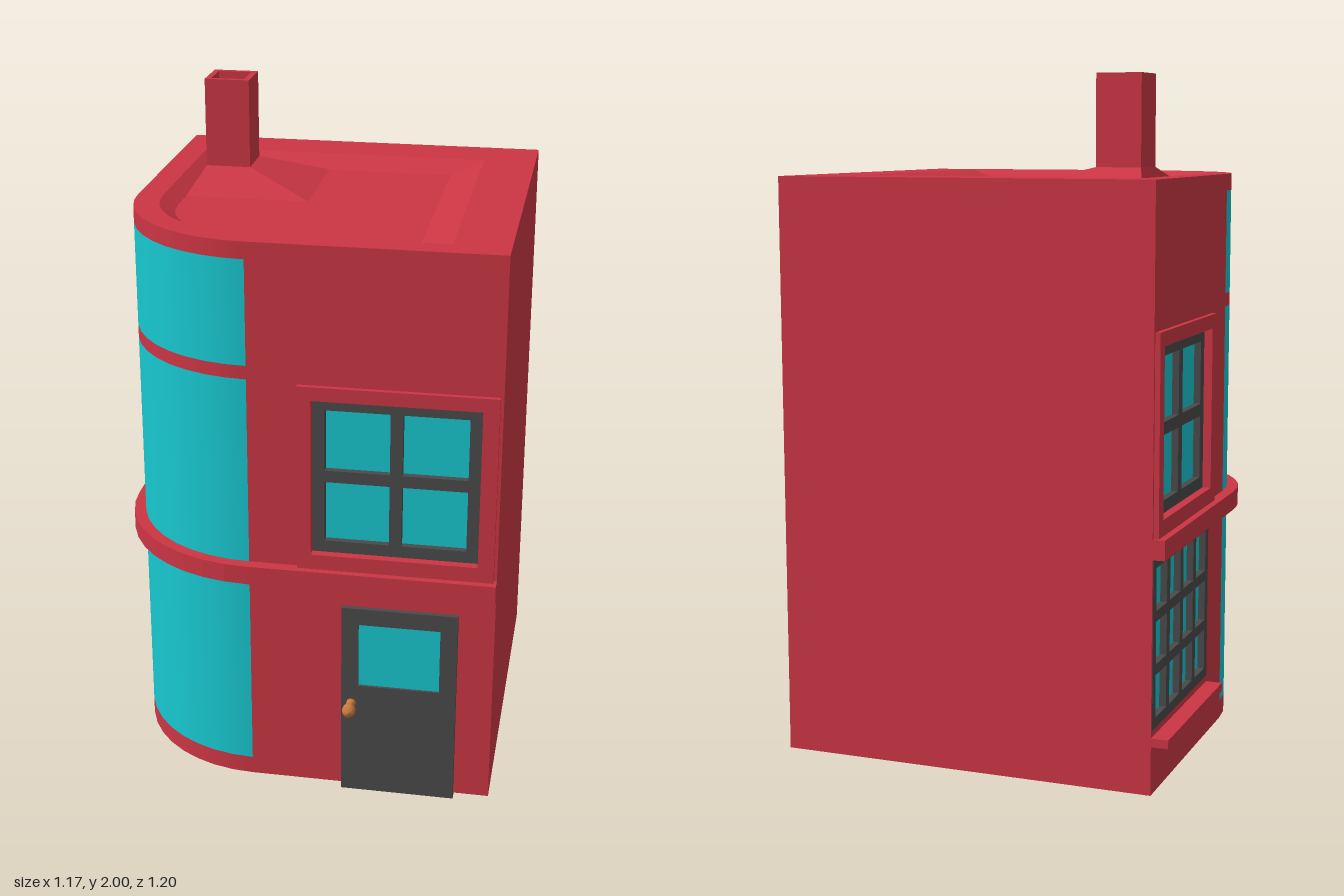
import * as THREE from 'three';

const mat = (color, extra = {}) => new THREE.MeshStandardMaterial({ color, side: THREE.DoubleSide, ...extra });
const red = mat(0xcc3644);
const redFlat = mat(0xcc3644, { flatShading: true });
const teal = mat(0x18c8d0);
const dark = mat(0x4a4a4a);
const copper = mat(0xc87a3c);

const BOTTOM = 0.015, TOP = 1.71, XR = 0.585, ZB = -0.6;
const CX = -0.135, CZ = 0.12, R = 0.405; // centre and radius of the rounded corner

function add(parent, name, geometry, material, x = 0, y = 0, z = 0) {
  const mesh = new THREE.Mesh(geometry, material);
  mesh.name = name;
  mesh.position.set(x, y, z);
  parent.add(mesh);
  return mesh;
}

const rectPoints = (x0, y0, x1, y1) =>
  [[x0, y0], [x1, y0], [x1, y1], [x0, y1]].map(([x, y]) => new THREE.Vector2(x, y));

// Upright rectangle with rectangular holes; solid when a depth is given
function panel(rect, holes = [], depth = 0) {
  const shape = new THREE.Shape(rectPoints(...rect));
  for (const h of holes) shape.holes.push(new THREE.Path(rectPoints(...h)));
  return depth ? new THREE.ExtrudeGeometry(shape, { depth, bevelEnabled: false }) : new THREE.ShapeGeometry(shape);
}

// Plan outline [x, z]: two straight walls joined by the rounded corner
function plan(r, xr = XR, zb = ZB) {
  const pts = [[xr, zb], [CX - r, zb]];
  for (let i = 0; i <= 10; i++) {
    const a = (i / 10) * Math.PI / 2;
    pts.push([CX - r * Math.cos(a), CZ + r * Math.sin(a)]);
  }
  pts.push([xr, CZ + r]);
  return pts;
}

// Horizontal slab or sheet from a plan outline
function slab(outer, hole, height = 0) {
  const v = (pts) => pts.map(([x, z]) => new THREE.Vector2(x, -z));
  const shape = new THREE.Shape(v(outer));
  if (hole) shape.holes.push(new THREE.Path(v(hole)));
  const g = height
    ? new THREE.ExtrudeGeometry(shape, { depth: height, bevelEnabled: false })
    : new THREE.ShapeGeometry(shape);
  return g.rotateX(-Math.PI / 2);
}

// Sloping skin between two plan outlines at different heights
function loft(a, ya, b, yb) {
  const pos = [];
  for (let i = 0; i < a.length; i++) {
    const j = (i + 1) % a.length;
    const a0 = [a[i][0], ya, a[i][1]], a1 = [a[j][0], ya, a[j][1]];
    const b0 = [b[i][0], yb, b[i][1]], b1 = [b[j][0], yb, b[j][1]];
    pos.push(...a0, ...a1, ...b1, ...a0, ...b1, ...b0);
  }
  const g = new THREE.BufferGeometry();
  g.setAttribute('position', new THREE.Float32BufferAttribute(pos, 3));
  g.computeVertexNormals();
  return g;
}

// Plan rectangle, counterclockwise seen from above
const box2 = (x0, z0, x1, z1) => [[x1, z0], [x0, z0], [x0, z1], [x1, z1]];

// Dark glazing bars with glass behind, centred, facing +z
function glazing(parent, w, h, cols, rows, bar, z) {
  const holes = [];
  const pw = (w - bar * (cols + 1)) / cols, ph = (h - bar * (rows + 1)) / rows;
  for (let i = 0; i < cols; i++) {
    for (let j = 0; j < rows; j++) {
      const x = -w / 2 + bar + i * (pw + bar), y = -h / 2 + bar + j * (ph + bar);
      holes.push([x, y, x + pw, y + ph]);
    }
  }
  add(parent, 'windowBars', panel([-w / 2, -h / 2, w / 2, h / 2], holes, 0.025), dark, 0, 0, z);
  add(parent, 'windowGlass', new THREE.PlaneGeometry(w, h), teal, 0, 0, z + 0.005);
}

// Upper window with a raised surround
function upperWindow() {
  const g = new THREE.Group();
  g.name = 'upperWindow';
  add(g, 'windowSurround', panel([-0.283, -0.283, 0.283, 0.283], [[-0.243, -0.235, 0.237, 0.242]], 0.055), red, 0, 0, -0.04);
  const inner = new THREE.Group();
  inner.name = 'windowPanes';
  inner.position.set(-0.003, 0.004, 0);
  glazing(inner, 0.48, 0.477, 2, 2, 0.036, -0.035);
  g.add(inner);
  return g;
}

export function createModel() {
  const model = new THREE.Group();
  model.name = 'cornerBuilding';

  // Flat walls
  add(model, 'frontWall', panel([CX, BOTTOM, XR, TOP], [[0.03, 0.76, 0.56, 1.285]]), red, 0, 0, CZ + R);
  const side = add(model, 'rightWall',
    panel([ZB, BOTTOM, CZ, TOP], [[-0.575, 0.76, -0.045, 1.285], [-0.593, 0.2, -0.04, 0.685]]), red, CX - R);
  side.rotation.y = -Math.PI / 2;
  add(model, 'backWall', panel([CX - R, BOTTOM, XR, TOP]).rotateY(Math.PI).translate(CX - R + XR, 0, 0), red, 0, 0, ZB);
  const left = add(model, 'leftWall', panel([-(CZ + R), BOTTOM, -ZB, TOP]), red, XR);
  left.rotation.y = Math.PI / 2;
  add(model, 'floor', slab(plan(R)), teal, 0, BOTTOM);

  // Rounded corner: red courses and curved glass
  const courses = [
    ['cornerBase', 0.015, 0.07, red], ['cornerGlass', 0.07, 0.7, teal], ['cornerGlass', 0.7, 1.31, teal],
    ['cornerBand', 1.31, 1.35, red], ['cornerGlass', 1.35, 1.66, teal], ['cornerTop', 1.66, 1.71, red],
  ];
  for (const [name, y0, y1, m] of courses) {
    add(model, name, new THREE.CylinderGeometry(R, R, y1 - y0, 10, 1, true, 1.5 * Math.PI, Math.PI / 2), m, CX, (y0 + y1) / 2, CZ);
  }

  // Ledge between the storeys
  const ledge = [...plan(0.44).slice(1), ...plan(R).slice(1).reverse()];
  add(model, 'storeyLedge', slab(ledge, null, 0.057), red, 0, 0.684);

  // Roof with a shallow sunken middle
  const rim = plan(0.33, 0.425, -0.44), sunk = plan(0.285, 0.33, -0.345);
  add(model, 'roofRim', slab(plan(R), rim), red, 0, TOP);
  add(model, 'roofSlope', loft(rim, TOP, sunk, 1.683), redFlat);
  add(model, 'roofFloor', slab(sunk), red, 0, 1.683);

  // Chimney
  const stack = box2(-0.395, -0.275, -0.26, -0.14);
  add(model, 'chimneyFoot', loft(box2(-0.42, -0.345, -0.05, 0.025), 1.684, stack, 1.735), redFlat);
  add(model, 'chimneyStack', slab(stack, box2(-0.378, -0.258, -0.278, -0.157), 0.265), red, 0, 1.735);

  // Upper windows on the front and right walls
  const front = upperWindow();
  front.position.set(0.293, 1.022, CZ + R);
  model.add(front);
  const sideWindow = upperWindow();
  sideWindow.position.set(CX - R, 1.022, -0.31);
  sideWindow.rotation.y = -Math.PI / 2;
  model.add(sideWindow);

  // Large lower window with its sill
  const shop = new THREE.Group();
  shop.name = 'lowerWindow';
  shop.position.set(CX - R, 0.442, -0.317);
  shop.rotation.y = -Math.PI / 2;
  glazing(shop, 0.553, 0.485, 4, 3, 0.03, -0.024);
  model.add(shop);
  add(model, 'windowSill', new THREE.BoxGeometry(0.06, 0.025, 0.56), red, -0.56, 0.168, -0.32);

  // Front door
  const door = new THREE.Group();
  door.name = 'frontDoor';
  add(door, 'doorPanel', panel([0.14, 0.004, 0.48, 0.622], [[0.19, 0.365, 0.43, 0.57]], 0.02), dark, 0, 0, 0.52);
  add(door, 'doorGlass', new THREE.PlaneGeometry(0.25, 0.215), teal, 0.31, 0.4675, 0.532);
  add(door, 'doorFoot', new THREE.BoxGeometry(0.34, 0.05, 0.145), dark, 0.31, 0.025, 0.4625);
  const profile = [[0, 0], [0.015, 0], [0.014, 0.008], [0.009, 0.014], [0.011, 0.026], [0.019, 0.036], [0.02, 0.05], [0.015, 0.062], [0, 0.066]]
    .map(([r, y]) => new THREE.Vector2(r, y));
  add(door, 'doorKnob', new THREE.LatheGeometry(profile, 16).rotateX(Math.PI / 2), copper, 0.17, 0.305, 0.538);
  model.add(door);

  return model;
}
